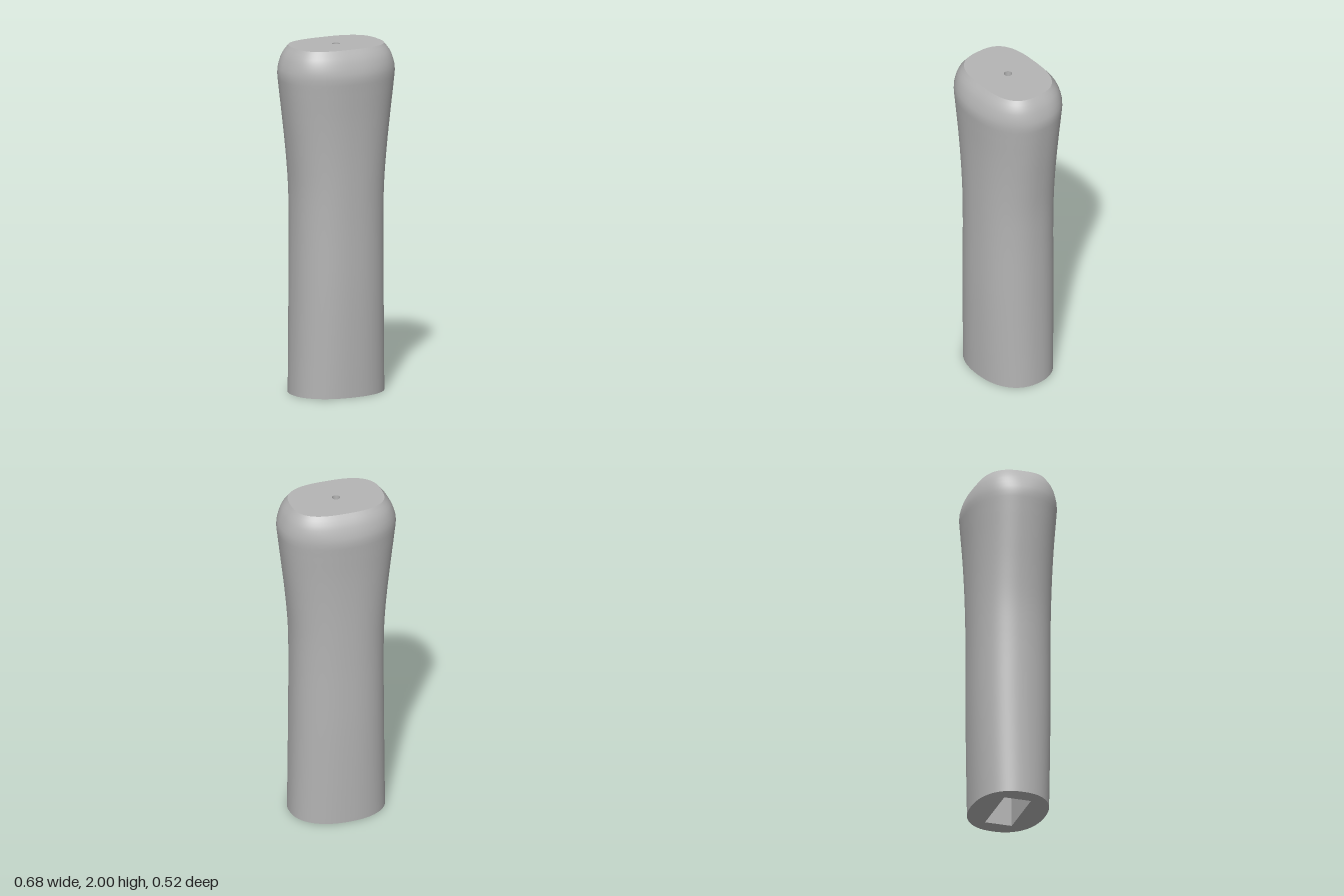
import * as THREE from 'three';

const SEGMENTS = 96;
const SLOT_TOP = 1.5;
const HOLE_RADIUS = 0.023;

// Rounded oval outline with half-width w and half-depth d
function oval(w, d, n) {
  const points = [];
  for (let i = 0; i < SEGMENTS; i++) {
    const a = (i / SEGMENTS) * Math.PI * 2;
    const c = Math.cos(a), s = Math.sin(a);
    points.push(new THREE.Vector2(
      w * Math.sign(c) * Math.abs(c) ** (2 / n),
      d * Math.sign(s) * Math.abs(s) ** (2 / n)
    ));
  }
  return points;
}

// Skin joining closed outlines, listed from bottom to top
function loft(rings, inward = false) {
  const positions = [], index = [];
  const count = rings[0].points.length;
  rings.forEach(({ points, y }) => points.forEach((p) => positions.push(p.x, y, p.y)));
  for (let r = 0; r < rings.length - 1; r++) {
    for (let i = 0; i < count; i++) {
      const j = (i + 1) % count;
      const a = r * count + i, b = r * count + j;
      const c = a + count, d = b + count;
      if (inward) index.push(a, b, c, b, d, c);
      else index.push(a, c, b, b, c, d);
    }
  }
  const geometry = new THREE.BufferGeometry();
  geometry.setAttribute('position', new THREE.Float32BufferAttribute(positions, 3));
  geometry.setIndex(index);
  geometry.computeVertexNormals();
  return geometry;
}

// Horizontal face with one opening
function cap(outline, opening, y, up) {
  const shape = new THREE.Shape(outline);
  shape.holes.push(new THREE.Path(opening));
  return new THREE.ShapeGeometry(shape)
    .rotateX(up ? -Math.PI / 2 : Math.PI / 2)
    .translate(0, y, 0);
}

export function createModel() {
  const group = new THREE.Group();
  group.name = 'handle';
  const grey = new THREE.MeshStandardMaterial({ color: 0xb4b4b4 });
  grey.name = 'grey';

  const add = (name, geometry) => {
    const mesh = new THREE.Mesh(geometry, grey);
    mesh.name = name;
    group.add(mesh);
  };

  // Grip stations: half-width, height, half-depth
  const curve = new THREE.CatmullRomCurve3([
    [0.278, 0, 0.22], [0.274, 0.25, 0.225], [0.27, 0.6, 0.23],
    [0.268, 1, 0.23], [0.273, 1.2, 0.232], [0.29, 1.4, 0.236],
    [0.313, 1.6, 0.244], [0.334, 1.78, 0.256], [0.34, 1.85, 0.26],
    [0.331, 1.89, 0.251], [0.307, 1.95, 0.227], [0.27, 2, 0.19],
  ].map((p) => new THREE.Vector3(...p)), false, 'centripetal');

  // The outline grows squarer across the rounded shoulder
  const rings = curve.getSpacedPoints(64).map((p) => {
    const shoulder = Math.max(0, (p.y - 1.85) / 0.15);
    return { points: oval(p.x, p.z, 2.25 + 0.55 * shoulder), y: p.y };
  });
  add('grip', loft(rings));

  // Rectangular slot for the tang, and the round bore above it
  const slot = [[1, 1], [-1, 1], [-1, -1], [1, -1]]
    .map(([x, z]) => new THREE.Vector2(x * 0.175, z * 0.079));
  const bore = oval(HOLE_RADIUS, HOLE_RADIUS, 2);

  const slotWalls = loft([{ points: slot, y: 0 }, { points: slot, y: SLOT_TOP }], true).toNonIndexed();
  slotWalls.computeVertexNormals();
  add('slotWalls', slotWalls);
  add('slotCeiling', cap(slot, bore, SLOT_TOP, false));
  add('boreWall', loft([{ points: bore, y: SLOT_TOP }, { points: bore, y: 2 }], true));

  // End faces
  add('topFace', cap(rings[rings.length - 1].points, bore, 2, true));
  add('bottomFace', cap(rings[0].points, slot, 0, false));

  return group;
}
